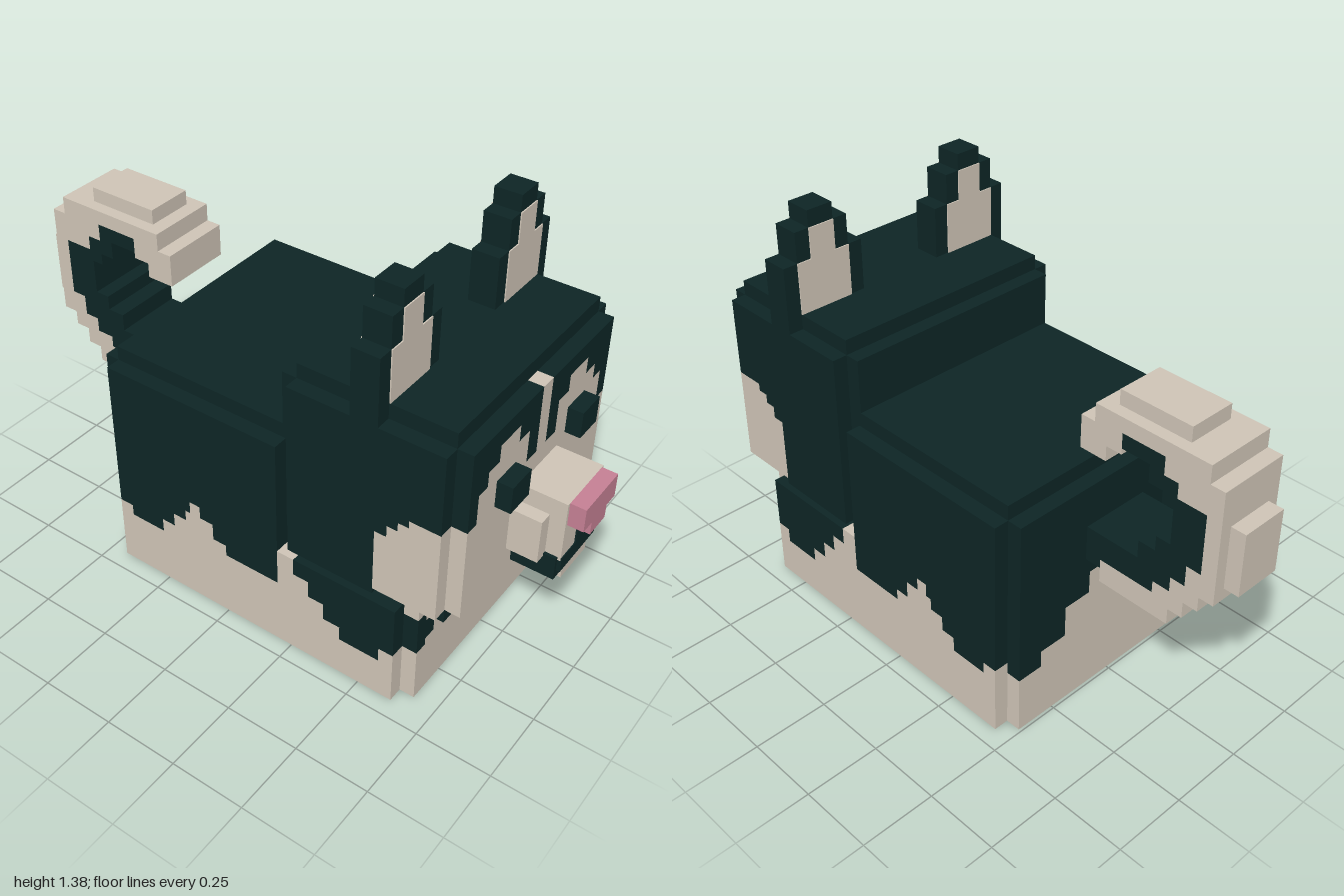
import * as THREE from 'three';
import { mergeGeometries } from 'three/addons/utils/BufferGeometryUtils.js';

const material = (name, color) => {
  const m = new THREE.MeshStandardMaterial({ color });
  m.name = name;
  return m;
};

// One block given by its limits along x, y and z
function block(x0, x1, y0, y1, z0, z1) {
  const g = new THREE.BoxGeometry(x1 - x0, y1 - y0, z1 - z0);
  return g.translate((x0 + x1) / 2, (y0 + y1) / 2, (z0 + z1) / 2);
}

// The same block on the left and on the right
const pair = (x0, x1, ...r) => [block(x0, x1, ...r), block(-x1, -x0, ...r)];

export function createModel() {
  const root = new THREE.Group();
  root.name = 'blockDog';
  const fur = material('dark fur', 0x0d2525);
  const cream = material('cream fur', 0xcdc3b5);
  const pink = material('pink nose', 0xc47f93);

  const add = (parent, name, mat, blocks) => {
    const mesh = new THREE.Mesh(mergeGeometries(blocks), mat);
    mesh.name = name;
    parent.add(mesh);
  };
  const group = (name) => {
    const g = new THREE.Group();
    g.name = name;
    root.add(g);
    return g;
  };

  // Body: dark core wrapped in columns that are cream up to a stepped height
  const body = group('body');
  const dark = [
    block(-0.39, 0.39, 0.05, 0.82, -0.44, 0.2),
    block(-0.39, 0.39, 0.05, 0.37, 0.2, 0.62),
  ];
  const light = [block(-0.39, 0.39, 0, 0.05, -0.44, 0.62)];

  // Flanks: z from, z to, cream height
  const flank = [
    [-0.44, -0.39, 0.24], [-0.39, -0.26, 0.2], [-0.26, -0.21, 0.25], [-0.21, -0.16, 0.3],
    [-0.16, -0.14, 0.34], [-0.14, -0.1, 0.385], [-0.1, -0.05, 0.34], [-0.05, 0, 0.28],
    [0, 0.2, 0.24], [0.2, 0.26, 0.37], [0.26, 0.315, 0.31], [0.315, 0.37, 0.25],
    [0.37, 0.43, 0.19], [0.43, 0.57, 0.14], [0.57, 0.62, 0.19],
  ];
  for (const [z0, z1, h] of flank) {
    const top = z0 < 0.2 ? 0.77 : 0.37;
    light.push(...pair(0.39, 0.44, 0, h, z0, z1));
    if (h < top) dark.push(...pair(0.39, 0.44, h, top, z0, z1));
  }

  // Rump: x from, x to, cream height
  for (const [x0, x1, h] of [[0, 0.1, 0.45], [0.1, 0.2, 0.37], [0.2, 0.3, 0.26], [0.3, 0.39, 0.2]]) {
    light.push(...pair(x0, x1, 0, h, -0.49, -0.44));
    dark.push(...pair(x0, x1, h, 0.77, -0.49, -0.44));
  }

  // Chest with a dark patch at each edge
  light.push(block(-0.3, 0.3, 0, 0.37, 0.62, 0.67));
  for (const [x0, x1, y0, y1] of [[0.3, 0.345, 0.215, 0.29], [0.345, 0.39, 0.19, 0.325]]) {
    light.push(...pair(x0, x1, 0, y0, 0.62, 0.67), ...pair(x0, x1, y1, 0.37, 0.62, 0.67));
    dark.push(...pair(x0, x1, y0, y1, 0.62, 0.67));
  }
  add(body, 'bodyDarkFur', fur, dark);
  add(body, 'bodyCreamFur', cream, light);

  // Head: core, stepped back, jaw, cheeks and face mask
  const head = group('head');
  const headDark = [
    block(-0.39, 0.39, 0.42, 1.05, 0.24, 0.75),
    block(-0.39, 0.39, 0.37, 0.42, 0.24, 0.54),
    block(-0.39, 0.39, 0.47, 1.0, 0.19, 0.24),
    ...pair(0.35, 0.39, 0.37, 0.42, 0.54, 0.75),
    ...pair(0.39, 0.44, 0.4, 1.0, 0.24, 0.54),
  ];
  const headLight = [block(-0.35, 0.35, 0.37, 0.42, 0.54, 0.75)];
  for (const [z0, z1, h] of [[0.54, 0.58, 0.64], [0.58, 0.615, 0.68], [0.615, 0.65, 0.71], [0.65, 0.75, 0.735]]) {
    headLight.push(...pair(0.39, 0.44, 0.42, h, z0, z1));
    headDark.push(...pair(0.39, 0.44, h, 1.0, z0, z1));
  }
  const mask = [
    [0, 0.027, 1.0], [0.027, 0.083, 0.775], [0.083, 0.14, 0.885], [0.14, 0.245, 0.94],
    [0.245, 0.3, 0.885], [0.3, 0.345, 0.835], [0.345, 0.39, 0.735],
  ];
  for (const [x0, x1, h] of mask) {
    headLight.push(...pair(x0, x1, 0.42, h, 0.75, 0.8));
    if (h < 1) headDark.push(...pair(x0, x1, h, 1.0, 0.75, 0.8));
  }
  add(head, 'headDarkFur', fur, headDark);
  add(head, 'headCreamFur', cream, headLight);
  add(head, 'eyes', fur, pair(0.15, 0.25, 0.73, 0.82, 0.8, 0.85));

  // Muzzle
  add(head, 'snout', cream, [
    block(-0.105, 0.105, 0.5, 0.71, 0.8, 0.95),
    ...pair(0.105, 0.15, 0.5, 0.65, 0.8, 0.9),
  ]);
  add(head, 'mouth', fur, [
    block(-0.115, 0.115, 0.43, 0.51, 0.8, 0.94),
    block(-0.105, 0.105, 0.46, 0.51, 0.94, 0.953),
    block(-0.025, 0.025, 0.51, 0.57, 0.95, 0.955),
  ]);
  add(head, 'chin', cream, [block(-0.075, 0.075, 0.41, 0.46, 0.8, 0.945)]);
  add(head, 'nose', pink, [
    block(-0.095, 0.095, 0.63, 0.71, 0.95, 1.0),
    block(-0.045, 0.045, 0.585, 0.63, 0.95, 1.0),
  ]);

  // Ears, with cream plates front and back
  add(head, 'ears', fur, [
    ...pair(0.15, 0.44, 1.0, 1.22, 0.45, 0.54),
    ...pair(0.2, 0.39, 1.22, 1.32, 0.45, 0.54),
    ...pair(0.25, 0.34, 1.32, 1.375, 0.45, 0.54),
  ]);
  const inner = [];
  for (const [z0, z1] of [[0.446, 0.45], [0.54, 0.544]]) {
    inner.push(...pair(0.2, 0.39, 1.05, 1.22, z0, z1), ...pair(0.25, 0.34, 1.22, 1.32, z0, z1));
  }
  add(head, 'innerEars', cream, inner);

  // Curled tail: stepped outlines as (distance behind centre, height)
  const tail = group('tail');
  const curl = (points) => {
    const shape = new THREE.Shape(points.map(([a, b]) => new THREE.Vector2(a, b)));
    const g = new THREE.ExtrudeGeometry(shape, { depth: 0.24, bevelEnabled: false });
    return g.translate(0, 0, -0.12).rotateY(Math.PI / 2);
  };
  // Steps shared by the cream outside and the dark inside
  const seam = [
    [0.6, 1.01], [0.75, 1.01], [0.75, 0.95], [0.8, 0.95], [0.8, 0.9], [0.9, 0.9], [0.9, 0.7],
    [0.85, 0.7], [0.85, 0.63], [0.8, 0.63], [0.8, 0.58], [0.74, 0.58], [0.74, 0.54], [0.545, 0.54],
  ];
  add(tail, 'tailCreamFur', cream, [
    curl([
      [0.545, 0.46], [0.8, 0.46], [0.8, 0.515], [0.85, 0.515], [0.85, 0.57], [0.9, 0.57],
      [0.9, 0.62], [0.95, 0.62], [0.95, 1.0], [0.9, 1.0], [0.9, 1.06], [0.5, 1.06], [0.5, 1.0],
      [0.45, 1.0], [0.45, 0.89], [0.545, 0.89], [0.545, 0.94], [0.6, 0.94], ...seam,
    ]),
  ]);
  add(tail, 'tailRidges', cream, [
    block(-0.08, 0.08, 1.06, 1.11, -0.8, -0.55),
    block(-0.08, 0.08, 0.66, 0.87, -1.0, -0.95),
  ]);
  add(tail, 'tailDarkFur', fur, [
    curl([
      ...seam, [0.545, 0.51], [0.48, 0.51], [0.48, 0.63], [0.68, 0.63], [0.68, 0.69], [0.74, 0.69],
      [0.74, 0.74], [0.79, 0.74], [0.79, 0.86], [0.75, 0.86], [0.75, 0.9], [0.7, 0.9], [0.7, 0.96], [0.6, 0.96],
    ]),
  ]);

  return root;
}
